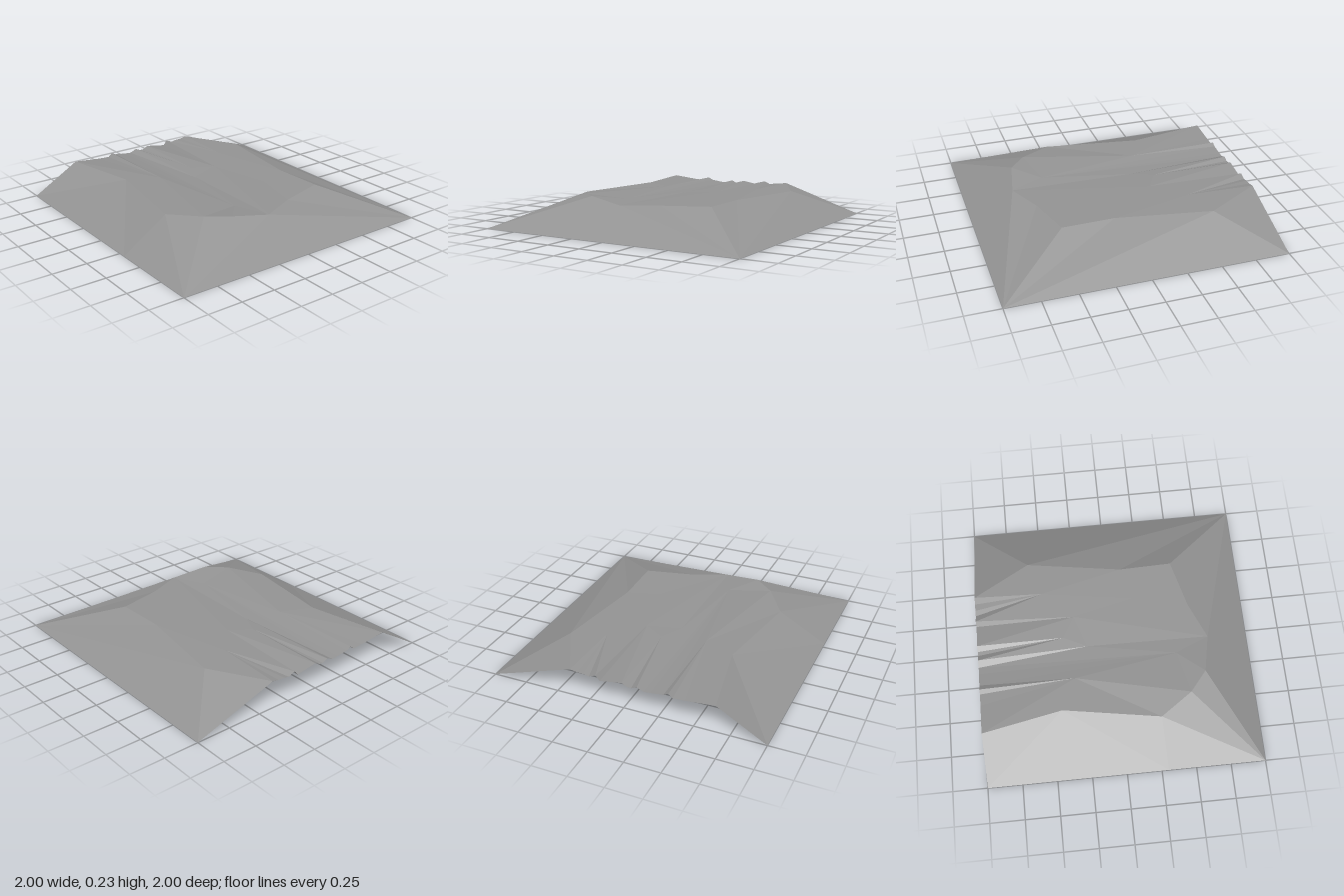
import * as THREE from 'three';

const point = (x, y, z) => new THREE.Vector3(x, y, z);

// Gullied left edge: [z, y] at x = -1, from back to front
const edge = [
  [-0.39, 0.202], [-0.34, 0.192], [-0.29, 0.19], [-0.25, 0.182], [-0.2, 0.203], [-0.17, 0.168],
  [-0.01, 0.195], [0.03, 0.175], [0.06, 0.173], [0.1, 0.192], [0.15, 0.17], [0.2, 0.174],
  [0.29, 0.186], [0.325, 0.204], [0.355, 0.178], [0.44, 0.182], [0.65, 0.203],
].map(([z, y]) => point(-1, y, z));

// Rim of the plateau, from back left round to front left
const rim = [
  [-0.59, 0.197, -0.62], [0.1, 0.205, -0.51], [0.48, 0.207, -0.52], [0.57, 0.2, -0.18], [0.685, 0.197, 0.085],
  [0.63, 0.235, 0.355], [0.51, 0.229, 0.5], [0.28, 0.206, 0.655], [-0.42, 0.209, 0.54],
].map((p) => point(...p));

// Heads of the gullies and creases on the plateau
const backHead = point(-0.5, 0.205, -0.37);
const backCrease = point(0.18, 0.2, -0.27);
const deepHead = point(-0.28, 0.2, -0.165);
const middleHead = point(-0.37, 0.196, -0.01);
const valleyHead = point(-0.2, 0.188, 0.07);
const longHead = point(0.44, 0.205, 0.19);
const frontHead = point(-0.31, 0.206, 0.31);

// Corners on the ground
const backLeft = point(-1, 0, -1);
const backRight = point(1, 0, -1);
const frontRight = point(1, 0, 1);
const frontMiddle = point(0.3, 0, 1);
const frontLeft = point(-1, 0, 1);

// Builds a faceted sheet from fans [apex, ...points around it], every face turned upward
function sheet(name, material, fans) {
  const corners = [];
  for (const [apex, ...ring] of fans) {
    for (let i = 0; i < ring.length - 1; i++) {
      let [b, c] = [ring[i], ring[i + 1]];
      const up = (b.z - apex.z) * (c.x - apex.x) - (b.x - apex.x) * (c.z - apex.z);
      if (up < 0) [b, c] = [c, b];
      corners.push(apex, b, c);
    }
  }
  const geometry = new THREE.BufferGeometry().setFromPoints(corners);
  geometry.computeVertexNormals();
  const mesh = new THREE.Mesh(geometry, material);
  mesh.name = name;
  return mesh;
}

export function createModel() {
  const rock = new THREE.MeshStandardMaterial({ color: 0x949494, side: THREE.DoubleSide, flatShading: true });
  rock.name = 'grey rock';
  const e = edge;
  const r = rim;

  const model = new THREE.Group();
  model.name = 'terrain';

  // Plateau with gullies running out to the left edge
  model.add(sheet('plateau', rock, [
    [backHead, r[1], r[0], ...e.slice(0, 5), deepHead, backCrease, r[1]],
    [backCrease, r[1], r[2], r[3], r[4], deepHead],
    [deepHead, e[4], e[5], e[6], middleHead, valleyHead, r[4]],
    [middleHead, ...e.slice(6, 10), valleyHead],
    [valleyHead, e[9], e[10], longHead, r[4]],
    [longHead, e[10], e[11], e[12], frontHead, r[6], r[5], r[4]],
    [frontHead, ...e.slice(12), r[8], r[7], r[6]],
  ]));

  // Slopes falling from the rim to the ground
  model.add(sheet('backSlope', rock, [
    [backLeft, e[0], r[0], backRight],
    [backRight, r[0], r[1], r[2]],
  ]));
  model.add(sheet('rightSlope', rock, [
    [backRight, r[2], r[3], r[4], frontRight],
    [frontRight, r[4], r[5], r[6]],
  ]));
  model.add(sheet('frontSlope', rock, [
    [frontRight, r[6], r[7], frontMiddle],
    [frontMiddle, r[7], r[8], frontLeft],
    [frontLeft, r[8], e[16]],
  ]));
  return model;
}
